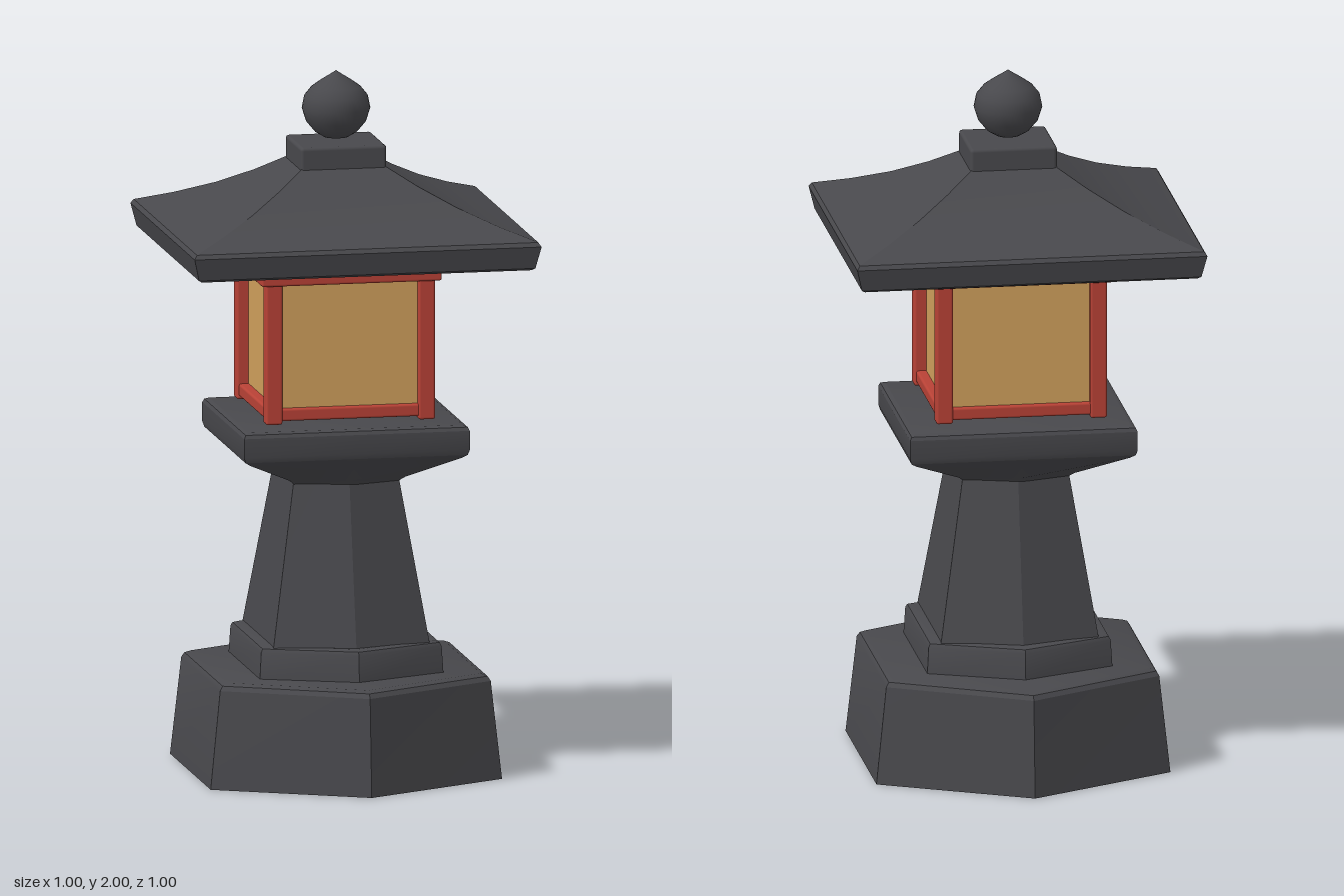
import * as THREE from 'three';
import { toCreasedNormals } from 'three/addons/utils/BufferGeometryUtils.js';
import { RoundedBoxGeometry } from 'three/addons/geometries/RoundedBoxGeometry.js';

const stone = new THREE.MeshStandardMaterial({ name: 'dark stone', color: 0x48484c });
const redWood = new THREE.MeshStandardMaterial({ name: 'red wood', color: 0xb94236 });
const paper = new THREE.MeshStandardMaterial({ name: 'amber paper', color: 0xd0a05c });

// Stack of six-point sections [y, half width, half depth, f].
// f = 1 gives a rectangle, smaller f gives a hexagon pointing along z.
function loft(sections) {
  const pos = [], idx = [];
  for (const [y, rx, rz, f] of sections) {
    pos.push(0, y, rz, rx, y, f * rz, rx, y, -f * rz, 0, y, -rz, -rx, y, -f * rz, -rx, y, f * rz);
  }
  for (let i = 0; i < sections.length - 1; i++) {
    for (let j = 0; j < 6; j++) {
      const a = i * 6 + j, b = i * 6 + (j + 1) % 6;
      idx.push(a, b, b + 6, a, b + 6, a + 6);
    }
  }
  const top = (sections.length - 1) * 6;
  for (let j = 1; j < 5; j++) {
    idx.push(0, j + 1, j);
    idx.push(top, top + j, top + j + 1);
  }
  const geo = new THREE.BufferGeometry();
  geo.setAttribute('position', new THREE.Float32BufferAttribute(pos, 3));
  geo.setIndex(idx);
  return toCreasedNormals(geo, 0.45);
}

export function createModel() {
  const model = new THREE.Group();
  model.name = 'stoneLantern';

  function add(name, geo, material, x = 0, y = 0, z = 0) {
    const mesh = new THREE.Mesh(geo, material);
    mesh.name = name;
    mesh.position.set(x, y, z);
    model.add(mesh);
    return mesh;
  }
  const bar = (w, h, d) => new RoundedBoxGeometry(w, h, d, 2, 0.007);

  // Hexagonal foot and the step above it
  add('base', loft([
    [0, 0.42, 0.5, 0.57], [0.28, 0.39, 0.478, 0.57],
    [0.293, 0.382, 0.468, 0.57], [0.3, 0.365, 0.45, 0.57],
  ]), stone);
  add('baseStep', loft([
    [0.29, 0.265, 0.328, 0.67], [0.375, 0.26, 0.322, 0.67],
    [0.385, 0.255, 0.316, 0.67], [0.39, 0.24, 0.3, 0.67],
  ]), stone);

  // Tapered shaft
  add('shaft', loft([[0.38, 0.226, 0.288, 0.76], [0.86, 0.15, 0.187, 0.76]]), stone);

  // Platform flaring from the shaft to a rectangle
  add('platform', loft([
    [0.84, 0.15, 0.187, 0.76], [0.855, 0.165, 0.2, 0.82], [0.925, 0.305, 0.278, 1],
    [0.935, 0.32, 0.29, 1], [0.95, 0.325, 0.295, 1], [1.005, 0.325, 0.295, 1],
    [1.015, 0.32, 0.29, 1], [1.02, 0.308, 0.278, 1],
  ]), stone);

  // Amber light box
  add('lightBox', new THREE.BoxGeometry(0.42, 0.4, 0.42), paper, -0.005, 1.25, 0.003);

  // Red frame: corner posts, lower rails and upper beams
  for (const sx of [-1, 1]) {
    for (const sz of [-1, 1]) {
      add('post', bar(0.048, 0.41, 0.048), redWood, -0.005 + sx * 0.22, 1.235, 0.003 + sz * 0.205);
    }
    add('sideRail', bar(0.036, 0.036, 0.4), redWood, -0.005 + sx * 0.22, 1.057, 0.003);
    add('sideBeam', bar(0.08, 0.038, 0.49), redWood, -0.005 + sx * 0.22, 1.449, 0.003);
    add('crossRail', bar(0.44, 0.036, 0.036), redWood, -0.005, 1.057, 0.003 + sx * 0.205);
    add('crossBeam', bar(0.52, 0.038, 0.08), redWood, -0.005, 1.449, 0.003 + sx * 0.205);
  }

  // Broad concave roof with sloping eaves
  add('roof', loft([
    [1.485, 0.475, 0.427, 1], [1.492, 0.485, 0.438, 1], [1.555, 0.5, 0.451, 1],
    [1.567, 0.492, 0.443, 1], [1.6, 0.395, 0.355, 1], [1.642, 0.293, 0.262, 1],
    [1.69, 0.2, 0.178, 1], [1.745, 0.11, 0.098, 1],
  ]), stone);
  add('roofCap', new RoundedBoxGeometry(0.248, 0.08, 0.222, 2, 0.01), stone, 0, 1.76, 0);

  // Onion-shaped finial
  const profile = [
    [0, 1.81], [0.035, 1.81], [0.06, 1.825], [0.085, 1.855], [0.097, 1.893],
    [0.09, 1.928], [0.07, 1.953], [0.042, 1.973], [0.018, 1.988], [0, 2],
  ].map(([r, y]) => new THREE.Vector2(r, y));
  add('finial', new THREE.LatheGeometry(profile, 32), stone);

  return model;
}
